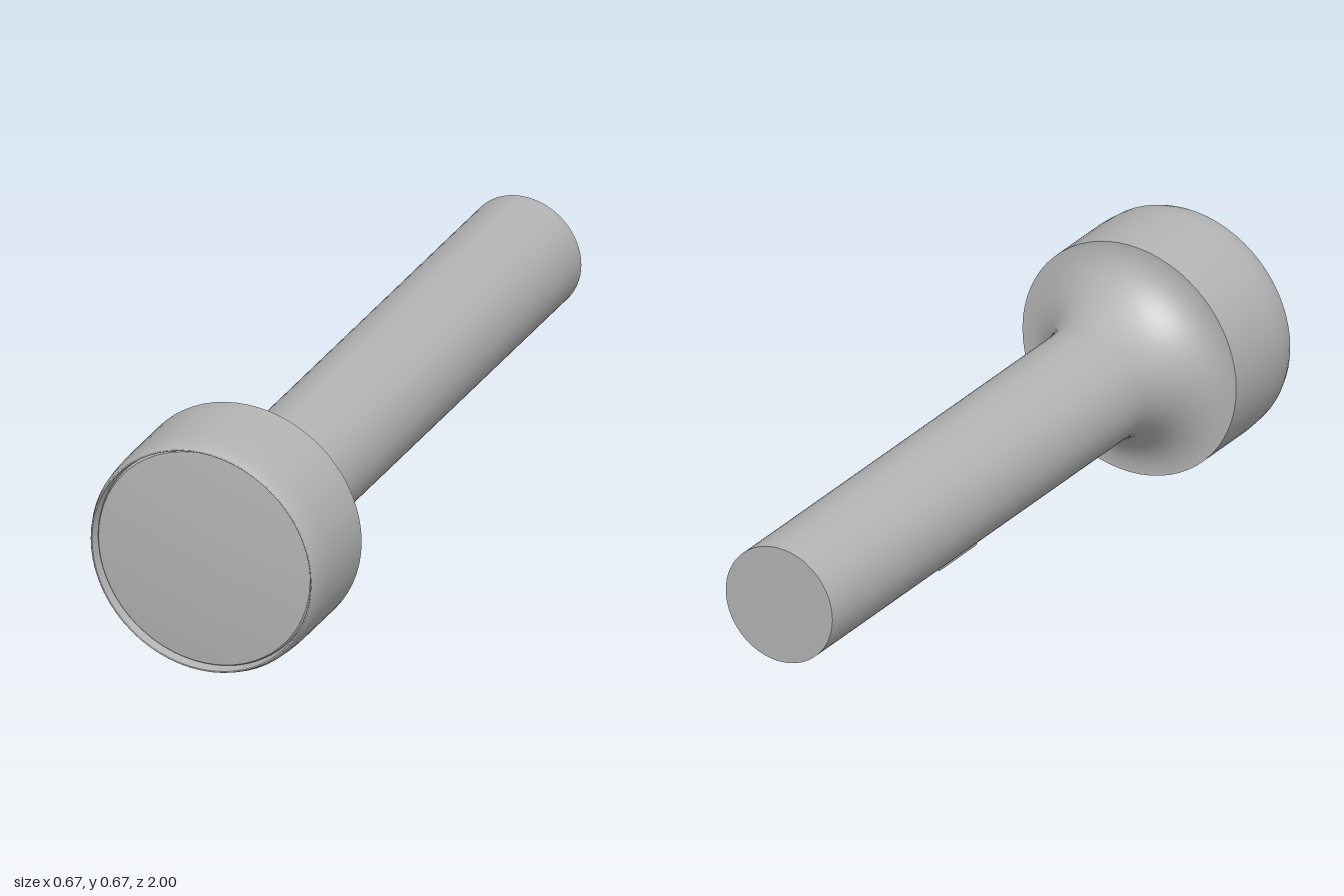
import * as THREE from 'three';
import { RoundedBoxGeometry } from 'three/addons/geometries/RoundedBoxGeometry.js';

const SEGMENTS = 64;
const AXIS_Y = 0.333;

export function createModel() {
  const group = new THREE.Group();
  group.name = 'flashlight';
  const grey = new THREE.MeshStandardMaterial({ color: 0xb4b4b4 });
  grey.name = 'grey';

  // Turned part: profile of [radius, z], spun around the long axis
  function turned(name, profile) {
    const points = profile.map(([r, z]) => new THREE.Vector2(r, z));
    const geometry = new THREE.LatheGeometry(points, SEGMENTS);
    geometry.rotateX(Math.PI / 2);
    const mesh = new THREE.Mesh(geometry, grey);
    mesh.name = name;
    mesh.position.y = AXIS_Y;
    group.add(mesh);
  }

  // Handle with its flat end
  turned('handleEnd', [[0, -1], [0.166, -1]]);

  // Handle runs smoothly into a concave flare behind the head
  const flare = [[0.166, -1], [0.166, 0.5]];
  for (let i = 1; i <= 14; i++) {
    const a = (i / 14) * Math.PI / 2;
    flare.push([0.166 + 0.157 * (1 - Math.cos(a)), 0.51 + 0.205 * Math.sin(a)]);
  }
  turned('handle', flare);

  // Head: back shoulder, barrel with softened front edge, rim and inner wall
  turned('headShoulder', [[0.32, 0.715], [0.333, 0.715]]);
  turned('headBarrel', [
    [0.333, 0.715], [0.333, 0.91], [0.331, 0.95], [0.328, 0.98], [0.321, 0.998],
  ]);
  turned('headRim', [[0.321, 0.998], [0.319, 1], [0.317, 0.998]]);
  turned('rimInside', [[0.317, 0.998], [0.312, 0.965]]);

  // Lens: rounded border and shallow dome, set just inside the rim
  turned('lensEdge', [[0.313, 0.965], [0.311, 0.974], [0.307, 0.979]]);
  const lens = [];
  for (let i = 0; i <= 10; i++) {
    const r = 0.307 * (1 - i / 10);
    lens.push([r, 0.979 + 0.016 * (1 - (r / 0.307) ** 2)]);
  }
  turned('lens', lens);

  // Switch under the handle
  const button = new THREE.Mesh(new RoundedBoxGeometry(0.1, 0.05, 0.186, 3, 0.007), grey);
  button.name = 'switch';
  button.position.set(0, 0.168, -0.198);
  group.add(button);

  return group;
}
